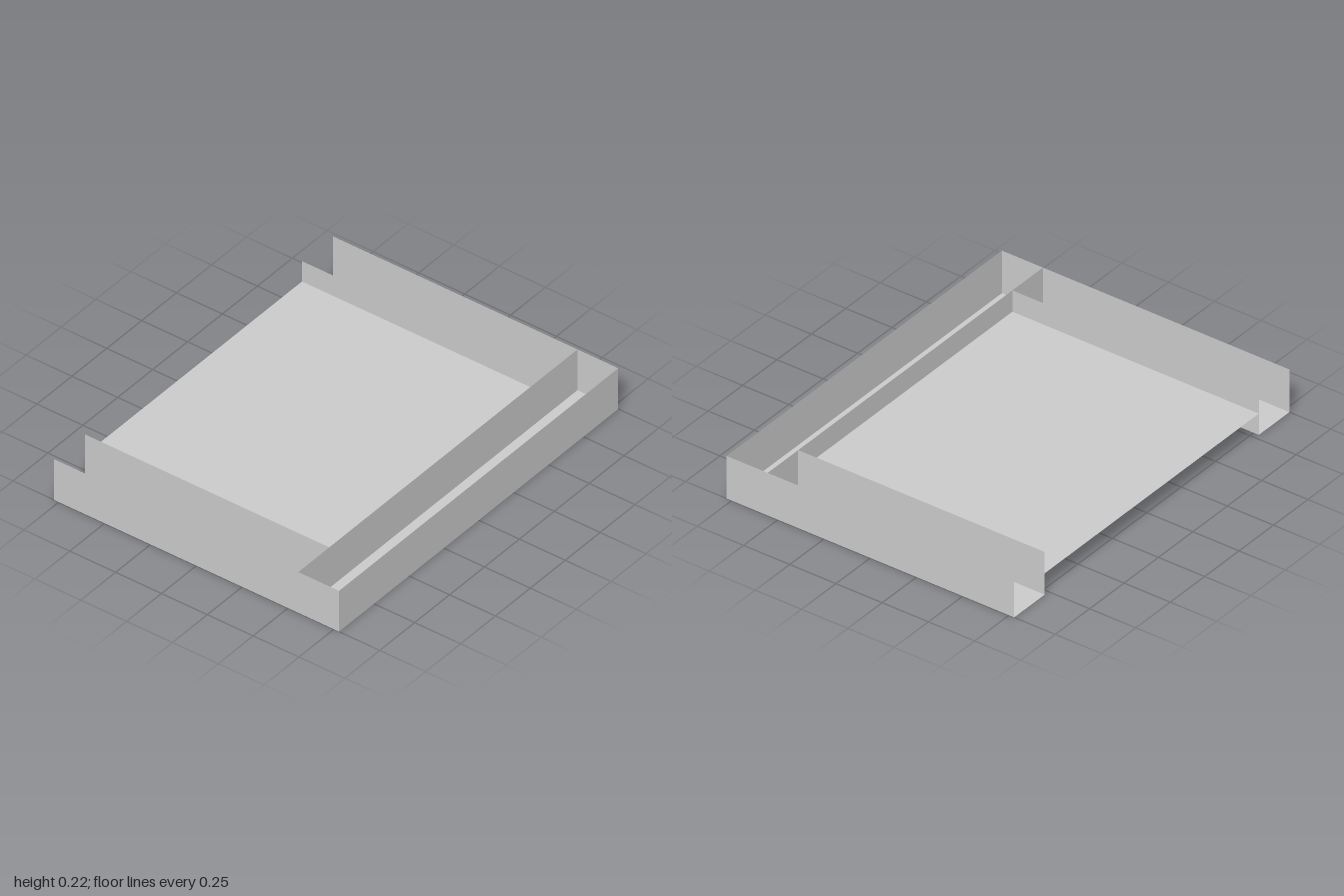
import * as THREE from 'three';

// Everything sits on a grid of nine units across the width
const U = 2 / 9;
const HALF_W = 1, HALF_D = 3.5 * U, HEIGHT = U, PANEL_Y = U / 2;
const INNER_X = HALF_W - U, INNER_Z = HALF_D - U;

export function createModel() {
  const model = new THREE.Group();
  model.name = 'openTray';
  const material = new THREE.MeshStandardMaterial({
    color: 0xcccccc, flatShading: true, side: THREE.DoubleSide,
  });

  const add = (name, geometry) => {
    const mesh = new THREE.Mesh(geometry, material);
    mesh.name = name;
    model.add(mesh);
  };
  // Upright sheet across the width at a given z
  const crossWall = (name, z) =>
    add(name, new THREE.PlaneGeometry(2 * HALF_W, HEIGHT).translate(0, HEIGHT / 2, z));
  // Upright sheet along the depth at a given x, from the open back to zFront
  const sideWall = (name, x, zFront) => {
    const depth = zFront + HALF_D;
    add(name, new THREE.PlaneGeometry(depth, HEIGHT)
      .rotateY(x > 0 ? Math.PI / 2 : -Math.PI / 2)
      .translate(x, HEIGHT / 2, zFront - depth / 2));
  };

  // Walls of the channel
  crossWall('outerFrontWall', HALF_D);
  crossWall('innerFrontWall', INNER_Z);
  for (const [side, s] of [['left', 1], ['right', -1]]) {
    sideWall(side + 'OuterWall', s * HALF_W, HALF_D);
    sideWall(side + 'InnerWall', s * INNER_X, INNER_Z);
  }

  // U-shaped channel floor, open at the back
  const floor = new THREE.Shape([
    [-HALF_W, -HALF_D], [HALF_W, -HALF_D], [HALF_W, HALF_D], [INNER_X, HALF_D],
    [INNER_X, -INNER_Z], [-INNER_X, -INNER_Z], [-INNER_X, HALF_D], [-HALF_W, HALF_D],
  ].map(([x, y]) => new THREE.Vector2(x, y)));
  add('channelFloor', new THREE.ShapeGeometry(floor).rotateX(-Math.PI / 2));

  // Raised panel between the inner walls
  const panelDepth = INNER_Z + HALF_D;
  add('raisedPanel', new THREE.PlaneGeometry(2 * INNER_X, panelDepth)
    .rotateX(-Math.PI / 2)
    .translate(0, PANEL_Y, INNER_Z - panelDepth / 2));

  return model;
}
